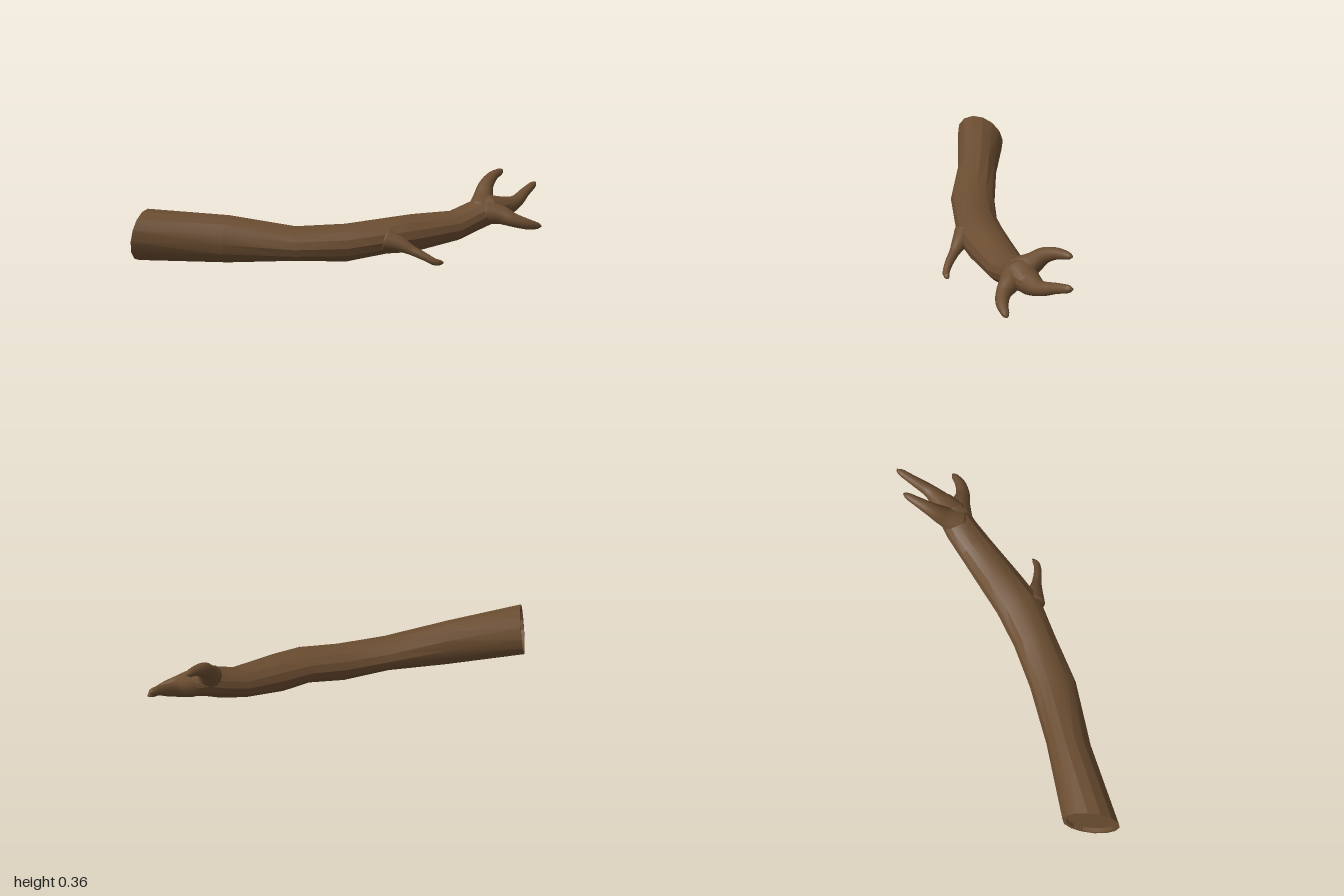
import * as THREE from 'three';
import { toCreasedNormals } from 'three/addons/utils/BufferGeometryUtils.js';

const v = (x, y, z) => new THREE.Vector3(x, y, z);

// Skin a list of elliptical rings { c, u, w }, with a fan closing each end
function loft(rings, sides, crease) {
  const pos = [], index = [];
  for (const { c, u, w } of rings) {
    for (let j = 0; j < sides; j++) {
      const a = (j / sides) * Math.PI * 2;
      const p = c.clone().addScaledVector(u, Math.cos(a)).addScaledVector(w, Math.sin(a));
      pos.push(p.x, p.y, p.z);
    }
  }
  const first = rings[0].c, last = rings[rings.length - 1].c;
  const start = rings.length * sides, end = start + 1;
  pos.push(first.x, first.y, first.z, last.x, last.y, last.z);
  for (let j = 0; j < sides; j++) {
    const k = (j + 1) % sides;
    for (let i = 0; i < rings.length - 1; i++) {
      const a = i * sides + j, b = i * sides + k;
      index.push(a, b, b + sides, a, b + sides, a + sides);
    }
    const top = (rings.length - 1) * sides;
    index.push(start, k, j, end, top + j, top + k);
  }
  const g = new THREE.BufferGeometry();
  g.setAttribute('position', new THREE.Float32BufferAttribute(pos, 3));
  g.setIndex(index);
  return toCreasedNormals(g, crease);
}

// Tapering twig with a rounded tip; points are [x, y, z, radius]
function twig(points) {
  const curve = new THREE.CatmullRomCurve3(points.map(p => v(p[0], p[1], p[2])));
  const steps = 24;
  const frames = curve.computeFrenetFrames(steps);
  const rings = [];
  for (let i = 0; i <= steps; i++) {
    const s = i / steps;
    const t = curve.getUtoTmapping(s) * (points.length - 1);
    const k = Math.min(Math.floor(t), points.length - 2);
    const tip = s > 0.9 ? Math.sqrt(Math.max(0.08, 1 - ((s - 0.9) / 0.1) ** 2)) : 1;
    const r = THREE.MathUtils.lerp(points[k][3], points[k + 1][3], t - k) * tip;
    rings.push({
      c: curve.getPointAt(s),
      u: frames.normals[i].clone().multiplyScalar(r),
      w: frames.binormals[i].clone().multiplyScalar(r),
    });
  }
  return loft(rings, 12, Math.PI);
}

export function createModel() {
  const group = new THREE.Group();
  group.name = 'branch';
  const bark = new THREE.MeshStandardMaterial({ color: 0x6b4d31 });
  bark.name = 'barkBrown';
  const add = (name, geometry) => {
    const mesh = new THREE.Mesh(geometry, bark);
    mesh.name = name;
    group.add(mesh);
  };

  // Trunk sections: near side x, z; far side x, z; bottom y, top y
  const rings = [
    [-1.0, -0.59, -0.73, -0.7, 0.04, 0.31],
    [-0.66, -0.28, -0.46, -0.39, 0.02, 0.265],
    [-0.42, -0.01, -0.23, -0.16, 0.025, 0.2],
    [-0.2, 0.16, -0.04, 0.0, 0.005, 0.2],
    [-0.02, 0.3, 0.13, 0.11, 0.033, 0.216],
    [0.12, 0.36, 0.27, 0.185, 0.022, 0.22],
    [0.38, 0.46, 0.46, 0.285, 0.05, 0.21],
    [0.5, 0.5, 0.58, 0.34, 0.085, 0.25],
    [0.58, 0.54, 0.65, 0.385, 0.115, 0.275],
    [0.68, 0.55, 0.71, 0.43, 0.14, 0.255],
    [0.77, 0.535, 0.78, 0.475, 0.175, 0.235],
  ].map(([lx, lz, rx, rz, y0, y1]) => ({
    c: v((lx + rx) / 2, (y0 + y1) / 2, (lz + rz) / 2),
    u: v((rx - lx) / 2, 0, (rz - lz) / 2),
    w: v(0, (y1 - y0) / 2, 0),
  }));
  // Sawn end: leaning slightly, with a rim around a shallow recess
  rings[0].w.z = 0.02;
  const rim = { c: rings[0].c.clone(), u: rings[0].u.clone().multiplyScalar(0.87), w: rings[0].w.clone().multiplyScalar(0.87) };
  const recess = { ...rim, c: rim.c.clone().add(v(0.008, 0, 0.018)) };
  add('trunk', loft([recess, rim, ...rings], 14, 0.42));

  // Forked end
  add('middleProng', twig([
    [0.6, 0.195, 0.46, 0.07], [0.7, 0.195, 0.49, 0.06], [0.79, 0.207, 0.512, 0.038],
    [0.89, 0.243, 0.508, 0.027], [0.995, 0.277, 0.505, 0.018],
  ]));
  add('upperProng', twig([
    [0.57, 0.19, 0.44, 0.075], [0.635, 0.245, 0.41, 0.055], [0.69, 0.3, 0.388, 0.041],
    [0.76, 0.333, 0.377, 0.03], [0.865, 0.352, 0.373, 0.016],
  ]));
  add('frontProng', twig([
    [0.58, 0.19, 0.47, 0.07], [0.615, 0.18, 0.54, 0.053], [0.64, 0.158, 0.605, 0.038],
    [0.69, 0.135, 0.66, 0.03], [0.765, 0.113, 0.702, 0.015],
  ]));

  // Small twig part way along the trunk
  add('sideTwig', twig([
    [-0.01, 0.13, 0.26, 0.06], [0.02, 0.112, 0.325, 0.042], [0.045, 0.085, 0.385, 0.026],
    [0.075, 0.055, 0.45, 0.021], [0.105, 0.028, 0.495, 0.018], [0.145, 0.02, 0.518, 0.013],
  ]));
  return group;
}
